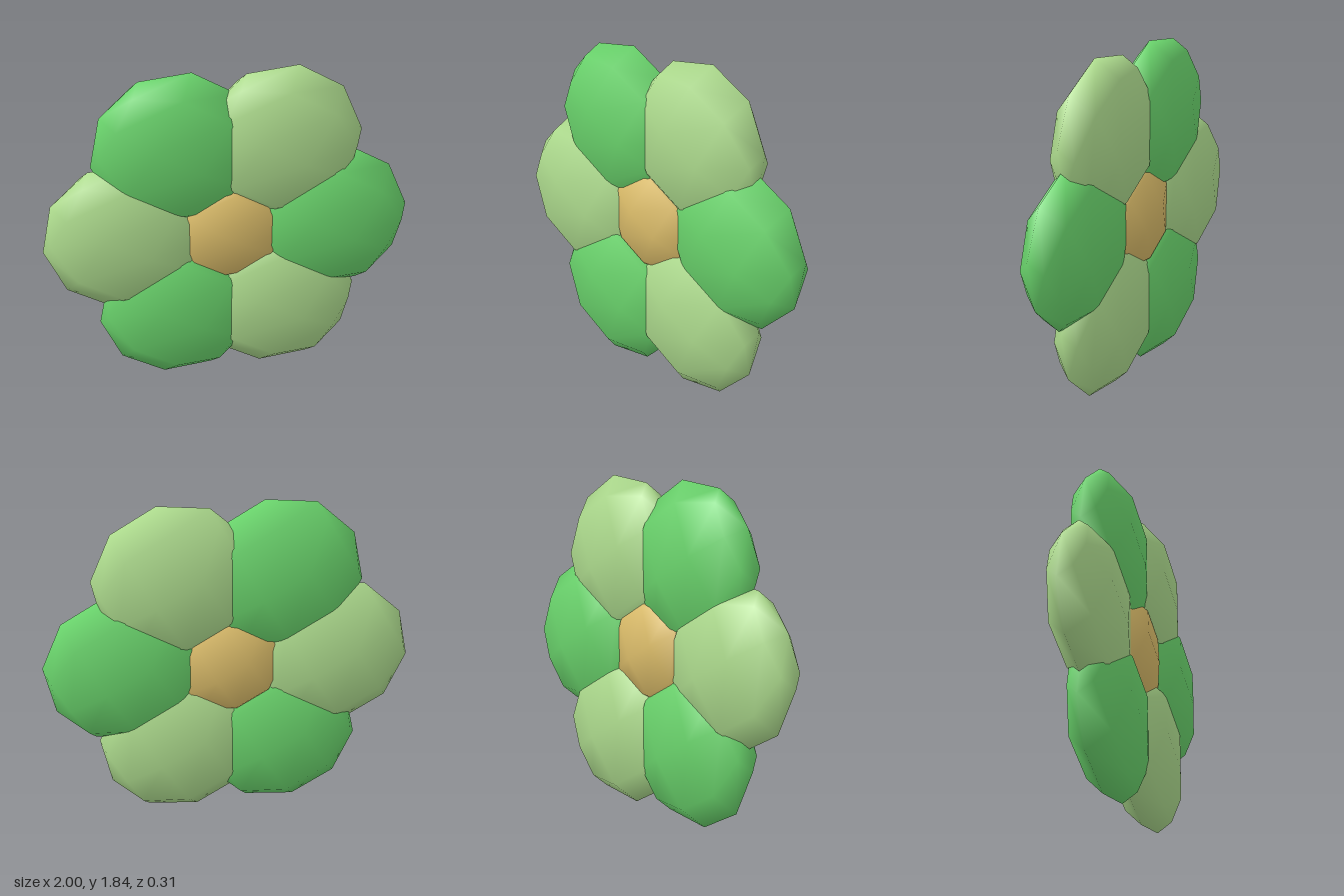
import * as THREE from 'three';

export function createModel() {
  const model = new THREE.Group();
  model.name = 'flower';

  const material = (name, color) => {
    const m = new THREE.MeshStandardMaterial({ color });
    m.name = name;
    return m;
  };
  const green = material('green', 0x6ad46c);
  const paleGreen = material('paleGreen', 0xaedc8e);
  const gold = material('gold', 0xdcbd6a);

  const midY = 0.918; // height of the flower's centre
  const ringRadius = 0.557; // distance from the centre to each petal

  // Flattened low-poly ball with its poles tilted in the flower's plane
  const ball = new THREE.SphereGeometry(1, 8, 5);
  const addBall = (name, mat, x, y, radius, depth) => {
    const mesh = new THREE.Mesh(ball, mat);
    mesh.name = name;
    mesh.scale.set(radius, radius, depth);
    mesh.rotation.z = Math.PI / 3;
    mesh.position.set(x, y, 0);
    model.add(mesh);
  };

  // Six petals in alternating greens
  for (let i = 0; i < 6; i++) {
    const a = (i * Math.PI) / 3;
    addBall(`petal${i + 1}`, i % 2 ? paleGreen : green,
      ringRadius * Math.cos(a), midY + ringRadius * Math.sin(a), 0.445, 0.165);
  }

  // Golden heart, visible on both faces
  addBall('flowerCentre', gold, 0, midY, 0.325, 0.152);

  return model;
}
